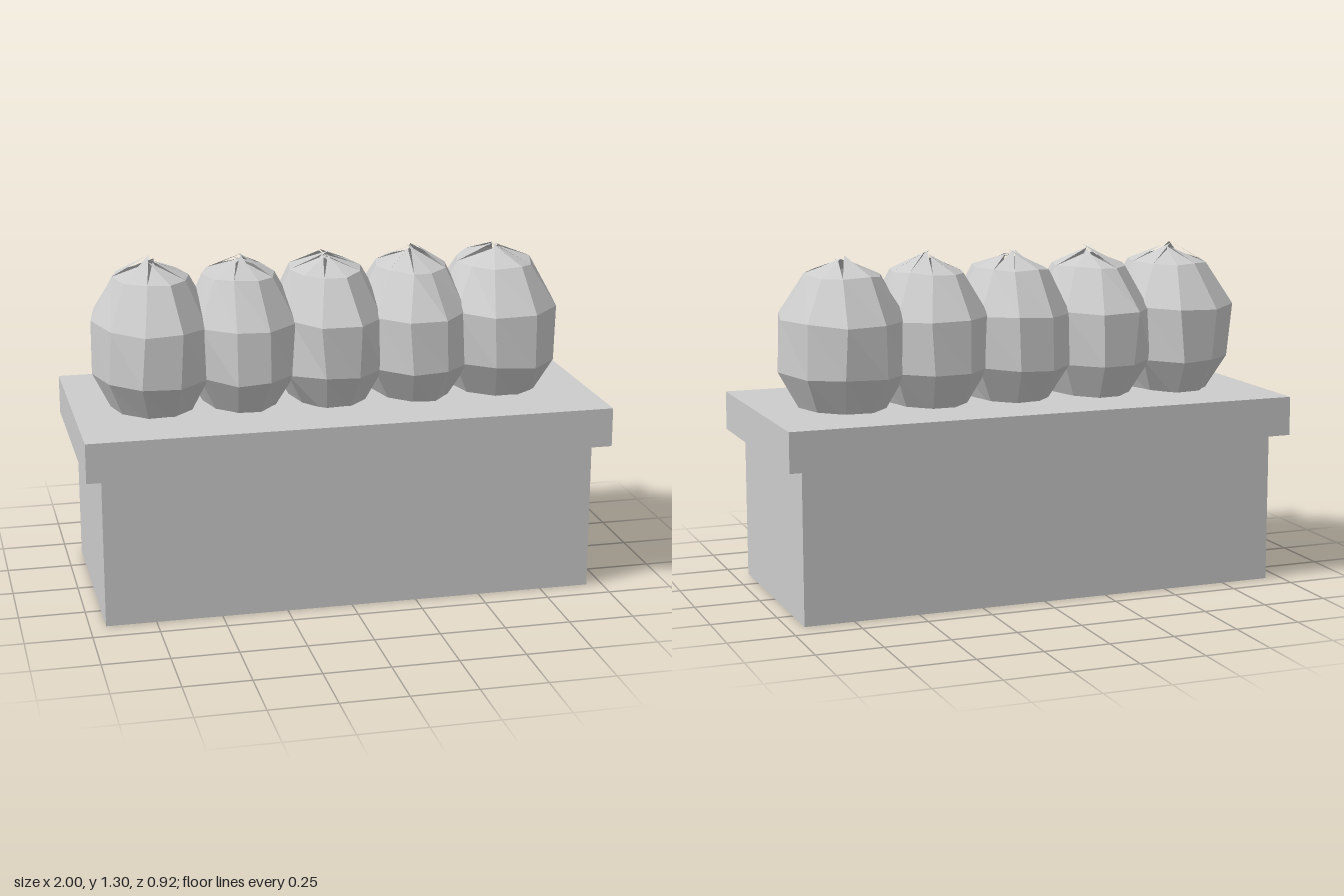
import * as THREE from 'three';

// Small seeded generator, returns -1..1
function seeded(seed) {
  let s = seed;
  return () => {
    s = (s * 16807) % 2147483647;
    return (s / 2147483647) * 2 - 1;
  };
}

// Faceted shrub: 10 x 5 sphere with slightly uneven vertices and a wrinkled crown
function shrubGeometry(seed, rx, ry, rz) {
  const cols = 10, rows = 5;
  const geo = new THREE.SphereGeometry(1, cols, rows);
  const pos = geo.attributes.position;
  const rand = seeded(seed);
  for (let r = 0; r <= rows; r++) {
    const pole = r === 0 || r === rows;
    for (let c = 0; c <= cols; c++) {
      const i = r * (cols + 1) + c;
      if (!pole && c === cols) { // close the seam
        const j = r * (cols + 1);
        pos.setXYZ(i, pos.getX(j), pos.getY(j), pos.getZ(j));
        continue;
      }
      const j = pole ? 0.025 : 0.01;
      const lift = pole ? 0.015 * rand() : 0.006 * rand();
      pos.setXYZ(i,
        pos.getX(i) * rx + j * rand(),
        pos.getY(i) * ry + lift,
        pos.getZ(i) * rz + j * rand());
    }
  }
  const flat = geo.toNonIndexed();
  flat.computeVertexNormals();
  return flat;
}

export function createModel() {
  const model = new THREE.Group();
  const stone = new THREE.MeshStandardMaterial({ color: 0xcccccc, flatShading: true, side: THREE.DoubleSide });
  stone.name = 'pale grey';

  const addBox = (name, w, h, d, y) => {
    const mesh = new THREE.Mesh(new THREE.BoxGeometry(w, h, d), stone);
    mesh.name = name;
    mesh.position.y = y + h / 2;
    model.add(mesh);
  };

  // Planter body and overhanging rim
  addBox('planterBody', 1.88, 0.58, 0.81, 0);
  addBox('planterRim', 2, 0.15, 0.92, 0.58);

  // Row of five shrubs: x position and half width
  const shrubs = [[-0.685, 0.243], [-0.35, 0.235], [-0.012, 0.235], [0.325, 0.235], [0.66, 0.253]];
  shrubs.forEach(([x, rx], i) => {
    const mesh = new THREE.Mesh(shrubGeometry(1234 + i * 7919, rx, 0.325, 0.328), stone);
    mesh.name = 'shrub' + (i + 1);
    mesh.position.set(x, 0.965, 0);
    model.add(mesh);
  });

  return model;
}
